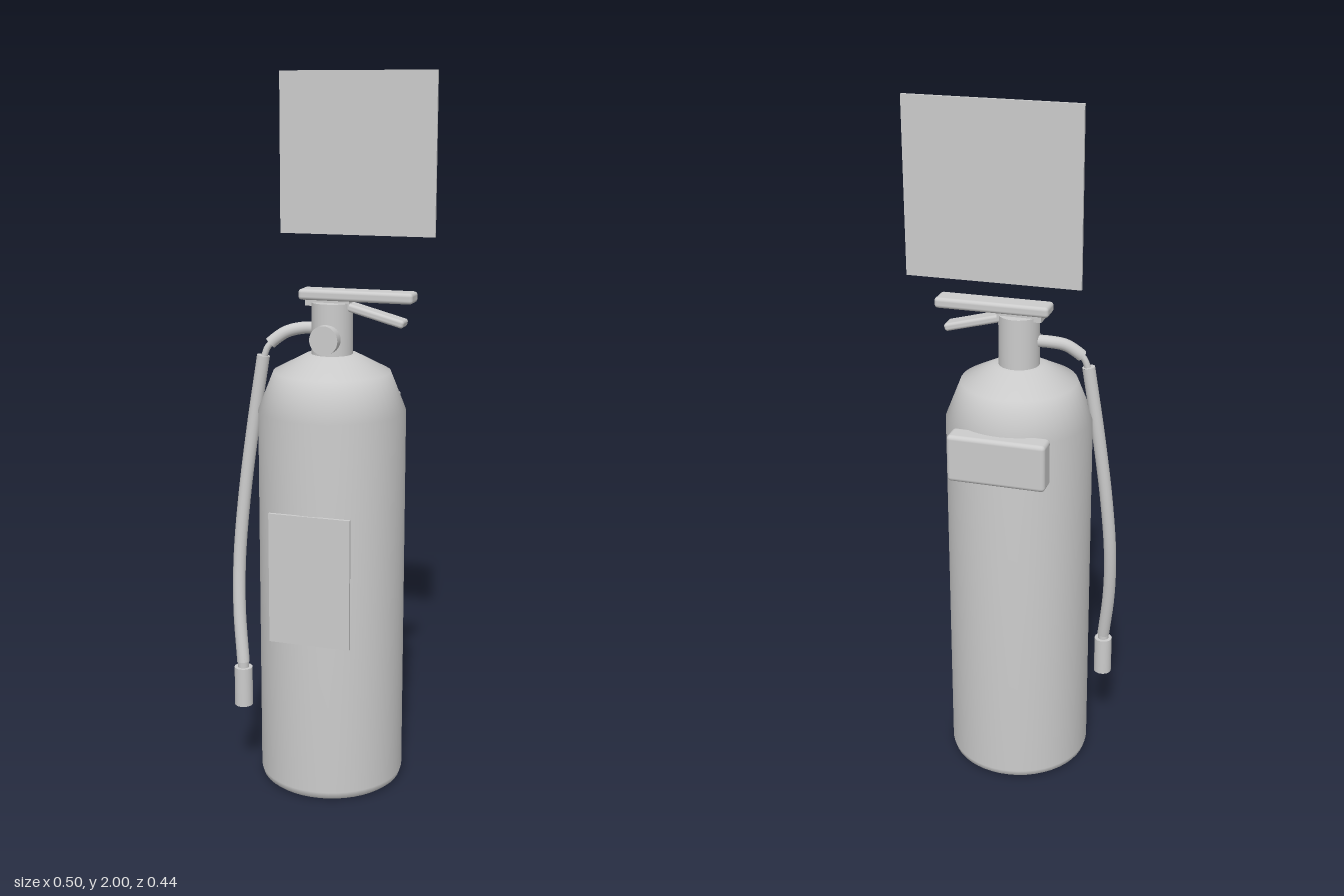
import * as THREE from 'three';
import { RoundedBoxGeometry } from 'three/addons/geometries/RoundedBoxGeometry.js';

export function createModel() {
  const group = new THREE.Group();
  const material = new THREE.MeshStandardMaterial({ color: 0xcccccc });
  const CX = 0.02, CZ = 0.01; // axis of the tank

  const add = (name, geometry, x = 0, y = 0, z = 0) => {
    const mesh = new THREE.Mesh(geometry, material);
    mesh.name = name;
    mesh.position.set(x, y, z);
    group.add(mesh);
    return mesh;
  };
  // box given by its extents; rounded when r > 0
  const addBox = (name, [x0, x1], [y0, y1], [z0, z1], r = 0) => {
    const size = [x1 - x0, y1 - y0, z1 - z0];
    const geometry = r ? new RoundedBoxGeometry(...size, 3, r) : new THREE.BoxGeometry(...size);
    return add(name, geometry, (x0 + x1) / 2, (y0 + y1) / 2, (z0 + z1) / 2);
  };
  const curve = pts => new THREE.CatmullRomCurve3(pts.map(p => new THREE.Vector3(...p)));
  // round tube with closed ends
  const addHose = (name, pts, r) => {
    const path = curve(pts);
    add(name, new THREE.TubeGeometry(path, 28, r, 16));
    for (const t of [0, 1]) {
      const p = path.getPointAt(t);
      const dir = path.getTangentAt(t).multiplyScalar(t ? 1 : -1);
      const cap = add(name + 'End', new THREE.CircleGeometry(r, 16), p.x, p.y, p.z);
      cap.quaternion.setFromUnitVectors(new THREE.Vector3(0, 0, 1), dir);
    }
  };

  // tank: straight wall, faceted shoulder, flat base
  const profile = [
    [0.19, 0], [0.2, 0.008], [0.205, 0.025], [0.205, 1.087], [0.162, 1.195], [0.07, 1.243], [0, 1.243],
  ].map(p => new THREE.Vector2(...p));
  add('tank', new THREE.LatheGeometry(profile, 48), CX, 0, CZ);
  add('tankBase', new THREE.CircleGeometry(0.19, 48), CX, 0, CZ).rotation.x = Math.PI / 2;

  // valve with pressure gauge
  add('valve', new THREE.CylinderGeometry(0.057, 0.057, 0.15, 32), CX, 1.31, CZ);
  add('gauge', new THREE.CylinderGeometry(0.04, 0.04, 0.03, 32), CX, 1.29, 0.075).rotation.x = Math.PI / 2;

  // carrying handle and squeeze lever
  addBox('handle', [-0.07, 0.252], [1.39, 1.42], [-0.026, 0.04], 0.01);
  addBox('handleMount', [-0.05, 0.075], [1.375, 1.395], [-0.02, 0.034]);
  const lever = add('lever', new RoundedBoxGeometry(0.21, 0.022, 0.054, 3, 0.008), 0.125, 1.36, 0.007);
  lever.rotation.z = -0.26;

  // outlet elbow, hose and nozzle
  addHose('outlet', [
    [-0.01, 1.312, 0.01], [-0.06, 1.311, 0.017], [-0.105, 1.3, 0.033], [-0.14, 1.275, 0.045], [-0.147, 1.268, 0.048],
  ], 0.017);
  addHose('hoseJoint', [[-0.143, 1.272, 0.047], [-0.155, 1.255, 0.051], [-0.165, 1.225, 0.054]], 0.009);
  addHose('hose', [
    [-0.165, 1.235, 0.054], [-0.197, 1.03, 0.058], [-0.222, 0.83, 0.066], [-0.234, 0.65, 0.08],
    [-0.229, 0.5, 0.1], [-0.211, 0.35, 0.122],
  ], 0.018);
  add('nozzleNeck', new THREE.CylinderGeometry(0.016, 0.016, 0.04, 16), -0.211, 0.342, 0.122);
  add('nozzle', new THREE.CylinderGeometry(0.026, 0.026, 0.115, 24), -0.211, 0.278, 0.122);

  // label plate, wall bracket and wall sign
  addBox('label', [-0.094, 0.136], [0.465, 0.833], [0.211, 0.22]);
  addBox('wallBracket', [-0.116, 0.158], [0.97, 1.105], [-0.219, -0.155], 0.012);
  addBox('wallSign', [-0.21, 0.25], [1.545, 2], [-0.224, -0.215]);

  return group;
}
